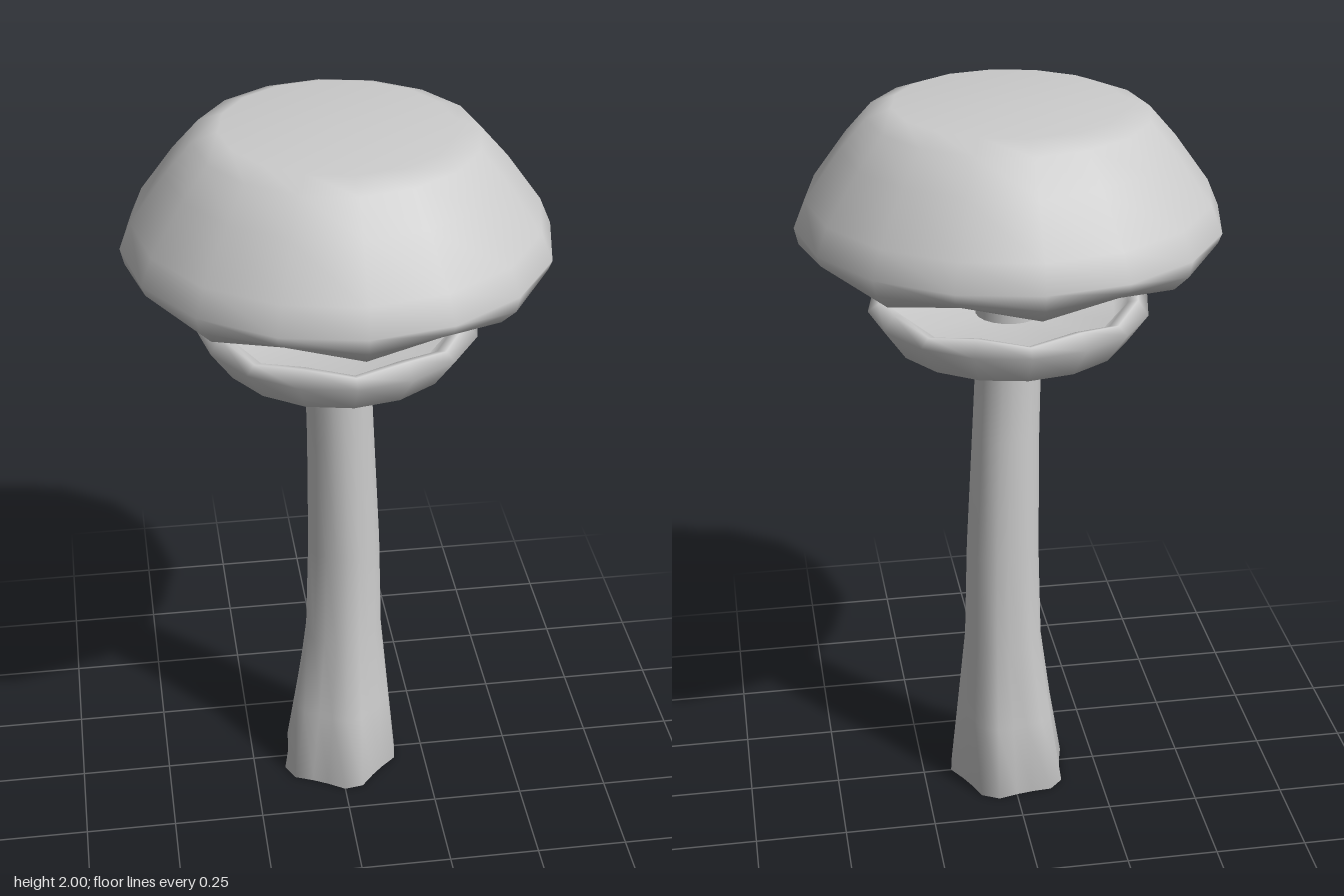
import * as THREE from 'three';
import { mergeVertices } from 'three/addons/utils/BufferGeometryUtils.js';

const material = new THREE.MeshStandardMaterial({ color: 0xcccccc });

// Lathe a profile of [radius, y, ...extra] points, then move each vertex by a rule.
function turned(name, profile, sides, rule) {
  const geo = new THREE.LatheGeometry(profile.map(([r, y]) => new THREE.Vector2(r, y)), sides);
  const pos = geo.attributes.position;
  const v = new THREE.Vector3();
  for (let i = 0; i < pos.count; i++) {
    v.fromBufferAttribute(pos, i);
    const column = Math.floor(i / profile.length) % sides;
    rule(v, (column / sides) * Math.PI * 2, profile[i % profile.length]);
    pos.setXYZ(i, v.x, v.y, v.z);
  }
  // weld the seam so the normals are smooth all round
  geo.deleteAttribute('uv');
  geo.deleteAttribute('normal');
  const welded = mergeVertices(geo, 1e-5);
  welded.computeVertexNormals();
  const mesh = new THREE.Mesh(welded, material);
  mesh.name = name;
  return mesh;
}

// Eight gentle waves; the third profile number is their height
const wavyRim = (v, angle, [, , wave = 0]) => {
  v.y -= wave * Math.cos(8 * angle);
};

export function createModel() {
  const group = new THREE.Group();
  group.name = 'mushroom';

  // Cap: hollow underside, wavy rim, flat crown
  group.add(turned('cap', [
    [0, 1.71], [0.42, 1.7], [0.47, 1.65, 0.015], [0.5, 1.632, 0.016],
    [0.54, 1.665, 0.008], [0.55, 1.7], [0.52, 1.77], [0.43, 1.895],
    [0.36, 1.975], [0.295, 2], [0, 2],
  ], 16, wavyRim));

  // Ring: shallow dish around the stem, with a wavy lip
  group.add(turned('ring', [
    [0, 1.35], [0.24, 1.35], [0.31, 1.375], [0.37, 1.46],
    [0.342, 1.49, 0.01], [0.315, 1.482, 0.01], [0.28, 1.442], [0, 1.435],
  ], 16, wavyRim));

  // Stem: slightly bowed, five-lobed foot; profile holds [radius, y, lobe, bow]
  group.add(turned('stem', [
    [0, 0], [0.12, 0, 0.004], [0.16, 0, 0.015], [0.134, 0.22, 0.01, 0.009],
    [0.108, 0.46, 0.004, 0.017], [0.1, 0.75, 0.002, 0.019], [0.091, 1.1, 0, 0.01],
    [0.087, 1.35], [0.091, 1.6], [0.091, 1.72], [0, 1.72],
  ], 20, (v, angle, [r, , lobe = 0, bow = 0]) => {
    const radius = r + lobe * Math.cos(5 * (angle - Math.PI * 1.25));
    v.x = radius * Math.sin(angle) + bow;
    v.z = radius * Math.cos(angle) - bow;
  }));

  return group;
}
